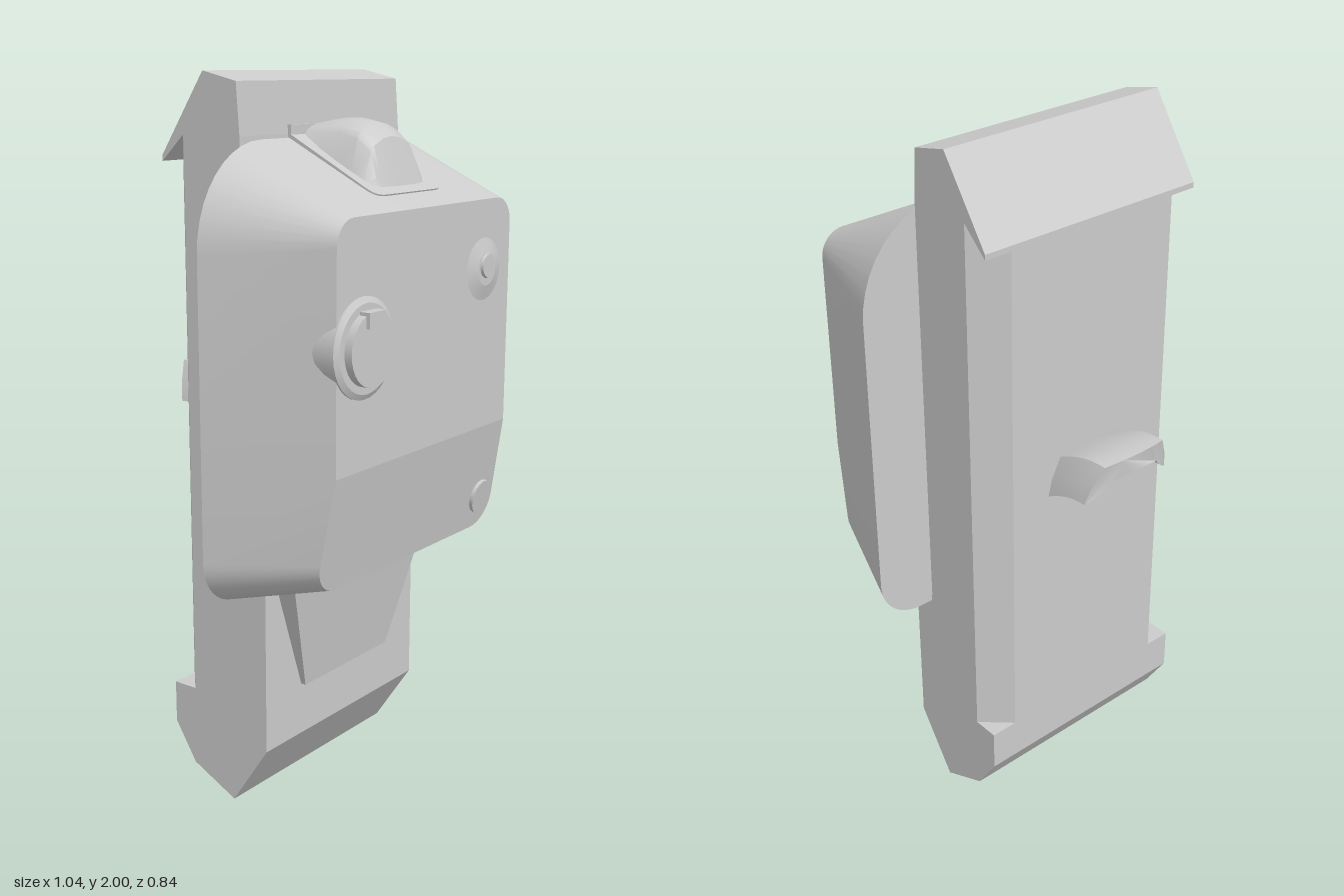
import * as THREE from 'three';
import { toCreasedNormals } from 'three/addons/utils/BufferGeometryUtils.js';

const grey = new THREE.MeshStandardMaterial({ color: 0xcccccc, side: THREE.DoubleSide });

// Surface through rows of [x, y, z] points
function grid(rows, crease) {
  const n = rows[0].length, index = [];
  for (let i = 0; i < rows.length - 1; i++)
    for (let j = 0; j < n - 1; j++) {
      const a = i * n + j, b = a + n;
      index.push(a, b, b + 1, a, b + 1, a + 1);
    }
  const g = new THREE.BufferGeometry();
  g.setAttribute('position', new THREE.Float32BufferAttribute(rows.flat(2), 3));
  g.setIndex(index);
  return toCreasedNormals(g, crease);
}

const polygon = (pts) => new THREE.Shape(pts.map(([x, y]) => new THREE.Vector2(x, y)));
const extrude = (shape, depth, steps = 1) =>
  new THREE.ExtrudeGeometry(shape, { depth, steps, bevelEnabled: false, curveSegments: 8 });

// Move every vertex by a rule
function warp(g, rule) {
  const p = g.attributes.position, v = new THREE.Vector3();
  for (let i = 0; i < p.count; i++) {
    rule(v.fromBufferAttribute(p, i));
    p.setXYZ(i, v.x, v.y, v.z);
  }
  g.computeVertexNormals();
  return g;
}

// Side profile [z, y] swept across the full width
const sweepX = (pts, half) => extrude(polygon(pts), half * 2).rotateY(-Math.PI / 2).translate(half, 0, 0);

export function createModel() {
  const model = new THREE.Group();
  const add = (name, geometry, x = 0, y = 0, z = 0, parent = model) => {
    const m = new THREE.Mesh(geometry, grey);
    m.name = name;
    m.position.set(x, y, z);
    parent.add(m);
    return m;
  };

  // Back plate: hooked top, chamfered middle, stepped foot
  add('plateTop', sweepX([[0.02, 1.975], [0.03, 1.84], [-0.16, 1.84], [-0.235, 1.77],
    [-0.235, 1.785], [-0.09, 2]], 0.35));
  const middle = extrude(polygon([[-0.35, -0.03], [0.35, -0.03], [0.35, 0.16], [0.27, 0.235],
    [-0.27, 0.235], [-0.35, 0.16]]), 1.54).rotateX(-Math.PI / 2).translate(0, 0.3, 0);
  add('plateMiddle', warp(middle, (v) => { if (v.y > 1 && v.z < -0.2) v.y = 1.77; }));
  add('plateFoot', sweepX([[0.1, 0.18], [0.1, 0.65], [0.03, 0.65], [0.03, 0.3], [-0.235, 0.3],
    [-0.235, 0.18], [-0.165, 0.07], [-0.02, 0]], 0.35));

  // Tapered panel under the housing
  const panel = extrude(polygon([[-0.195, 0.33], [0.195, 0.33], [0.305, 0.66], [-0.305, 0.66]]), 1);
  add('lowerPanel', warp(panel, (v) => { v.z = v.z < 0.5 ? 0.09 : 0.115 + (v.y - 0.33) * 0.15; }));

  // Housing: half outline from top centre to bottom centre
  const frontZ = (y) => 0.375 - 0.172 * Math.max(0, 1.02 - y);
  const outline = (w, flare, top, bottom, [rx, ry], r, zAt) => {
    const pts = [[0, top]];
    const corner = (cy, ax, ay, from) => {
      for (let k = 0; k <= 10; k++) {
        const a = from - (k / 10) * Math.PI / 2;
        pts.push([w - ax + ax * Math.cos(a), cy + ay * Math.sin(a)]);
      }
    };
    corner(top - ry, rx, ry, Math.PI / 2);
    pts.push([w, 1.02]);
    corner(bottom + r, r, r, 0);
    pts.push([0, bottom]);
    return pts.map(([x, y]) => [x * (1 + flare * Math.max(0, 1.02 - y)), y, zAt(y)]);
  };
  const back = outline(0.52, 0, 1.83, 0.63, [0.25, 0.27], 0.13, () => 0.033);
  const front = outline(0.405, 0.12, 1.66, 0.7, [0.07, 0.07], 0.09, frontZ);
  const mirror = ([x, y, z]) => [-x, y, z];
  const loop = (half) => [...half, ...half.slice(0, -1).reverse().map(mirror)];
  const housing = new THREE.Group();
  housing.name = 'housing';
  model.add(housing);
  add('housingSides', grid([loop(back), loop(front)], 0.5), 0, 0, 0, housing);
  add('housingFront', grid(front.map((p) => [mirror(p), p]), 0.1), 0, 0, 0, housing);
  add('housingBack', grid(back.map((p) => [p, mirror(p)]), 0.1), 0, 0, 0, housing);

  // Lamp on the sloping top: frame with rounded lower corners, back lip, domed cover
  const frame = new THREE.Shape();
  frame.moveTo(-0.155, 0.315);
  frame.lineTo(-0.155, 0.04);
  frame.quadraticCurveTo(-0.155, 0, -0.115, 0);
  frame.lineTo(0.115, 0);
  frame.quadraticCurveTo(0.155, 0, 0.155, 0.04);
  frame.lineTo(0.155, 0.315);
  add('lampFrame', extrude(frame, 0.025), 0, 1.673, 0.302).rotation.x = 0.48 - Math.PI / 2;
  add('lampLip', new THREE.BoxGeometry(0.31, 0.08, 0.012), 0, 1.823, 0.034);
  // z, crown height, half width at base, half width at crown
  const dome = [[0.03, 1.6, 0.1, 0.08], [0.03, 1.865, 0.11, 0.085], [0.09, 1.877, 0.125, 0.092],
    [0.15, 1.88, 0.13, 0.095], [0.21, 1.868, 0.13, 0.095], [0.25, 1.835, 0.13, 0.092],
    [0.272, 1.76, 0.128, 0.1], [0.29, 1.695, 0.11, 0.09]];
  add('lampCover', grid(dome.map(([z, top, wb, wt]) => {
    const base = Math.min(top - 0.01, 1.675 + (0.315 - z) * 0.52);
    const drop = Math.min(0.035, (top - base) * 0.4);
    const half = [[-wb, base, z], [-wt, top - drop, z], [-wt * 0.85, top - drop * 0.6, z],
      [-wt * 0.4, top - drop * 0.15, z]];
    return [...half, [0, top, z], ...half.slice().reverse().map(mirror)];
  }), 0.55));

  // Round parts facing the front
  const disc = (name, x, y, z0, z1, r0, r1, n = 32) =>
    add(name, new THREE.CylinderGeometry(r1, r0, z1 - z0, n).rotateX(Math.PI / 2), x, y, (z0 + z1) / 2);

  // Knob with raised centre and tab
  disc('knobBase', -0.295, 1.335, 0.3, 0.38, 0.13, 0.13);
  disc('knobRim', -0.295, 1.335, 0.38, 0.388, 0.13, 0.115);
  disc('knobCentre', -0.295, 1.335, 0.38, 0.41, 0.095, 0.095);
  add('knobTab', new THREE.BoxGeometry(0.07, 0.04, 0.03), -0.295, 1.412, 0.405);

  // Shallow dial with a pin
  disc('dial', 0.27, 1.47, 0.372, 0.386, 0.097, 0.045);
  disc('dialPin', 0.27, 1.48, 0.38, 0.394, 0.035, 0.032);

  // Small button on the angled lower front
  disc('lowerButton', 0.345, 0.795, 0.325, 0.347, 0.05, 0.05).rotation.x = 0.17;

  // Arched clip on the back, curving upward and rounded at its end
  const arch = new THREE.Shape();
  arch.moveTo(-0.147, 1.02);
  arch.lineTo(-0.135, 1.07);
  arch.lineTo(-0.105, 1.13);
  arch.quadraticCurveTo(0, 1.15, 0.105, 1.13);
  arch.lineTo(0.135, 1.07);
  arch.lineTo(0.147, 1.02);
  arch.quadraticCurveTo(0.1, 1.05, 0.085, 1.075);
  arch.quadraticCurveTo(0, 1.1, -0.085, 1.075);
  arch.quadraticCurveTo(-0.1, 1.05, -0.147, 1.02);
  const clip = warp(extrude(arch, 1, 8), (v) => {
    const t = 1 - v.z;
    const end = -0.42 + 1.6 * v.x * v.x + 0.12 * Math.max(0, 1.12 - v.y);
    v.z = THREE.MathUtils.lerp(-0.22, end, t);
    v.y += 0.05 * Math.sin(t * Math.PI * 0.55);
  });
  add('backClip', toCreasedNormals(clip, 0.45));

  return model;
}
